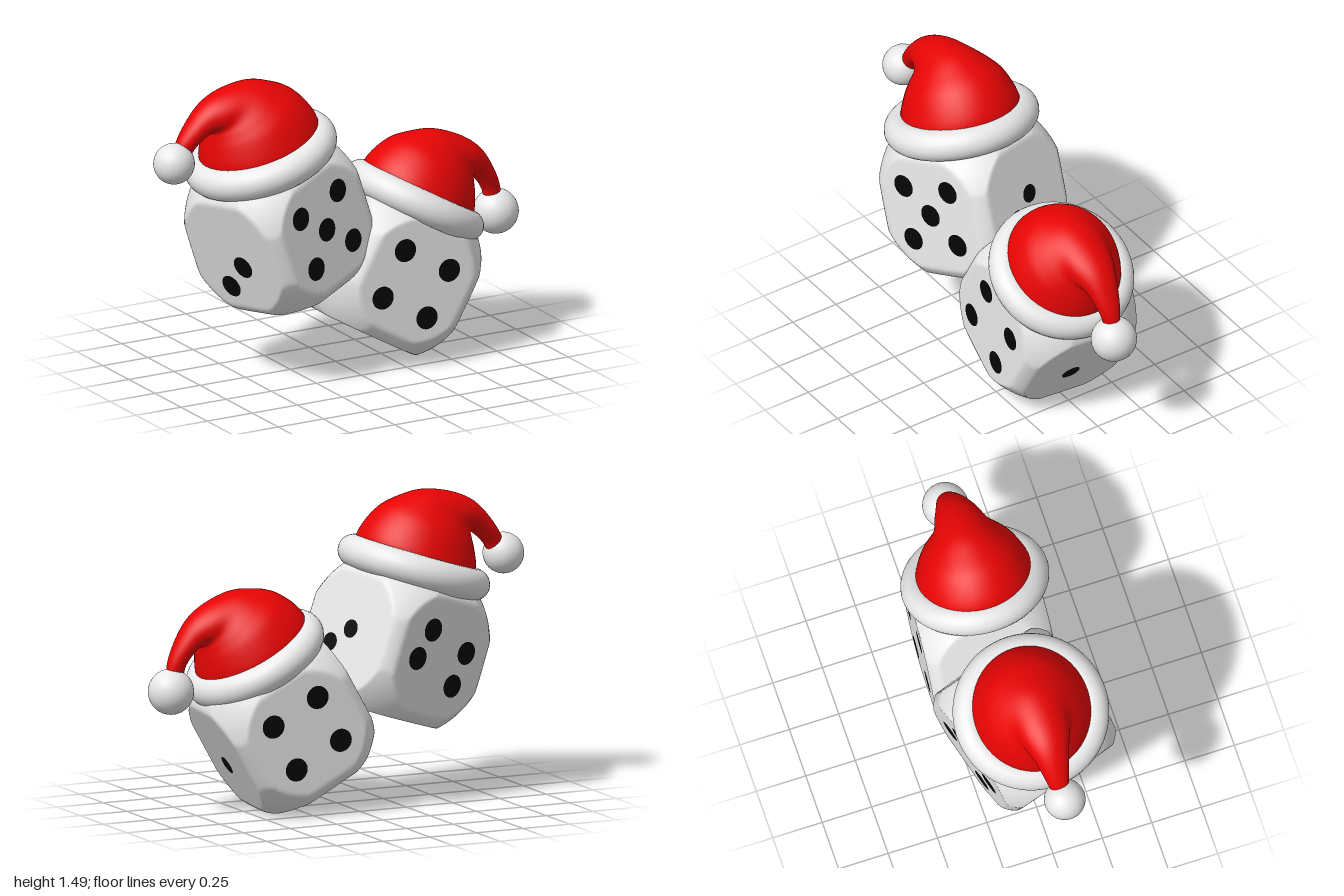
import * as THREE from 'three';
import { mergeVertices } from 'three/addons/utils/BufferGeometryUtils.js';

const white = new THREE.MeshStandardMaterial({ color: 0xe8e8e8 });
white.name = 'white';
const red = new THREE.MeshStandardMaterial({ color: 0xe80404 });
red.name = 'red';
const black = new THREE.MeshStandardMaterial({ color: 0x050505 });
black.name = 'black';

function addMesh(parent, name, geometry, material) {
  const mesh = new THREE.Mesh(geometry, material);
  mesh.name = name;
  parent.add(mesh);
  return mesh;
}

// Block with flat faces, softened edges and corners trimmed by a sphere
function dieGeometry(half) {
  let geo = new THREE.BoxGeometry(2, 2, 2, 44, 44, 44);
  geo.deleteAttribute('uv');
  geo.deleteAttribute('normal');
  geo = mergeVertices(geo, 1e-4);
  const pos = geo.attributes.position;
  const p = new THREE.Vector3();
  const edge = 1.48, trim = 1.36;
  for (let i = 0; i < pos.count; i++) {
    p.fromBufferAttribute(pos, i);
    const sum = p.x ** 4 + p.y ** 4 + p.z ** 4;
    p.multiplyScalar(Math.min(1, (edge / sum) ** 0.25, trim / p.length()));
    pos.setXYZ(i, p.x * half[0], p.y * half[1], p.z * half[2]);
  }
  geo.computeVertexNormals();
  return geo;
}

// Turn of each numbered face, starting from +z, and the axis it lies on
const faces = {
  front: { turn: [0, 0, 0], axis: 2 },
  back: { turn: [0, Math.PI, 0], axis: 2 },
  left: { turn: [0, Math.PI / 2, 0], axis: 0 },
  right: { turn: [0, -Math.PI / 2, 0], axis: 0 },
  bottom: { turn: [Math.PI / 2, 0, 0], axis: 1 },
};

function makeDie(half, pips) {
  const die = new THREE.Group();
  die.name = 'die';
  addMesh(die, 'dieBody', dieGeometry(half), white);
  for (const [face, spots] of Object.entries(pips)) {
    const side = new THREE.Group();
    side.name = face + 'Pips';
    side.rotation.set(...faces[face].turn);
    for (const [x, y, radius = 0.057] of spots) {
      const pip = addMesh(side, 'pip', new THREE.CircleGeometry(radius, 28), black);
      pip.position.set(x, y, half[faces[face].axis] + 0.002);
    }
    die.add(side);
  }
  return die;
}

// Drooping cap: oval rings between an outer and an inner outline
function capGeometry() {
  const outer = [ // x, y, half depth
    [0.3, 0, 0.295], [0.315, 0.09, 0.282], [0.254, 0.236, 0.237], [0.165, 0.318, 0.187], [0.065, 0.375, 0.14],
    [-0.096, 0.4, 0.11], [-0.214, 0.383, 0.085], [-0.348, 0.306, 0.062], [-0.415, 0.245, 0.047], [-0.465, 0.165, 0.036],
  ];
  const inner = [
    [-0.3, 0], [-0.29, 0.085], [-0.253, 0.17], [-0.232, 0.21], [-0.225, 0.23],
    [-0.235, 0.238], [-0.265, 0.23], [-0.31, 0.21], [-0.345, 0.185], [-0.385, 0.135],
  ];
  const outerCurve = new THREE.CatmullRomCurve3(outer.map((p) => new THREE.Vector3(...p)));
  const innerCurve = new THREE.CatmullRomCurve3(inner.map(([x, y]) => new THREE.Vector3(x, y, 0)));
  const rings = 54, sides = 48;
  const positions = [], index = [];
  for (let i = 0; i <= rings; i++) {
    const o = outerCurve.getPoint(i / rings);
    const q = innerCurve.getPoint(i / rings);
    for (let j = 0; j < sides; j++) {
      const a = (j / sides) * Math.PI * 2;
      const k = (1 + Math.cos(a)) / 2;
      positions.push(q.x + (o.x - q.x) * k, q.y + (o.y - q.y) * k, o.z * Math.sin(a));
      if (i < rings) {
        const next = (j + 1) % sides;
        const a0 = i * sides + j, b0 = i * sides + next;
        index.push(a0, a0 + sides, b0, b0, a0 + sides, b0 + sides);
      }
    }
  }
  const geo = new THREE.BufferGeometry();
  geo.setAttribute('position', new THREE.Float32BufferAttribute(positions, 3));
  geo.setIndex(index);
  geo.computeVertexNormals();
  return geo;
}

// Hat whose tail hangs to -x, or to +x when flipped
function makeHat(brimRadius, tube, capScale, flip) {
  const hat = new THREE.Group();
  hat.name = 'hat';
  const brim = addMesh(hat, 'furBrim', new THREE.TorusGeometry(brimRadius, tube, 24, 72), white);
  brim.rotation.x = Math.PI / 2;
  const cap = addMesh(hat, 'cap', capGeometry(), red);
  cap.scale.set(...capScale);
  if (flip) cap.rotation.y = Math.PI;
  return hat;
}

function quad(dx, dy, cy = 0) {
  return [[-dx, cy + dy], [dx, cy + dy], [-dx, cy - dy], [dx, cy - dy]];
}

export function createModel() {
  const model = new THREE.Group();
  model.name = 'hattedDice';
  const deg = THREE.MathUtils.degToRad;

  const units = [
    {
      name: 'upperDie', half: [0.342, 0.342, 0.322], roll: 18, yaw: 17.5, at: [-0.317, 0.749, 0],
      pips: {
        front: [...quad(0.139, 0.139), [0, 0]],
        back: [[-0.107, 0.119], [-0.156, -0.031], [0.155, 0.048], [0.124, -0.121]],
        left: [[0.02, 0.015, 0.045], [-0.09, -0.075, 0.045]],
        right: [[0.05, -0.05], [-0.07, -0.17]],
        bottom: quad(0.14, 0.14),
      },
      hatAt: [-0.415, 1.108, 0], brim: [0.3, 0.078], cap: [1, 1, 1], flip: false,
      ball: [-0.9, 1.138, 0.01], ballRadius: 0.1,
    },
    {
      name: 'lowerDie', half: [0.334, 0.334, 0.312], roll: -29.5, yaw: -4, at: [0.302, 0.423, -0.015],
      pips: {
        front: quad(0.134, 0.126, -0.015),
        back: quad(0.131, 0.126),
        left: [[-0.025, -0.045, 0.047]],
        right: [[0, 0], [0.13, -0.13]],
        bottom: quad(0.13, 0.13),
      },
      hatAt: [0.438, 0.735, 0], brim: [0.285, 0.076], cap: [0.98, 0.94, 0.98], flip: true,
      ball: [0.888, 0.61, 0], ballRadius: 0.111,
    },
  ];

  for (const u of units) {
    const unit = new THREE.Group();
    unit.name = u.name;
    // turn about the die's own upright axis, then roll
    const die = makeDie(u.half, u.pips);
    die.rotation.set(0, deg(u.yaw), deg(u.roll), 'ZYX');
    die.position.set(...u.at);
    const hat = makeHat(...u.brim, u.cap, u.flip);
    hat.rotation.z = deg(u.roll);
    hat.position.set(...u.hatAt);
    unit.add(die, hat);
    addMesh(unit, 'pompom', new THREE.SphereGeometry(u.ballRadius, 36, 24), white).position.set(...u.ball);
    model.add(unit);
  }
  return model;
}
